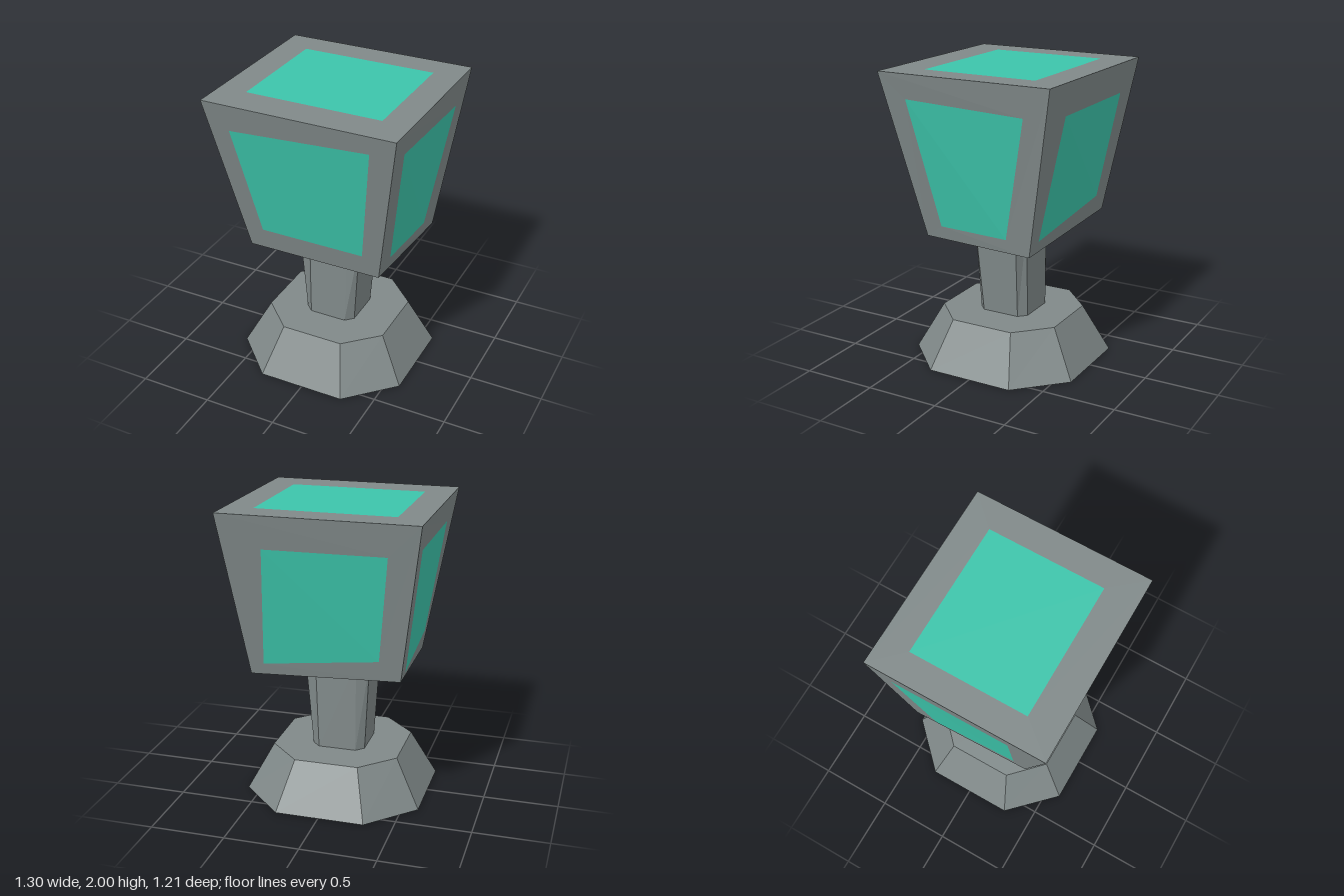
import * as THREE from 'three';

const V = (x, y, z) => new THREE.Vector3(x, y, z);

// two triangles, corners counter-clockwise from outside
const quad = (out, a, b, c, d) => out.push(a, b, c, a, c, d);

function makeMesh(name, points, material) {
  const geometry = new THREE.BufferGeometry().setFromPoints(points);
  geometry.computeVertexNormals(); // unshared corners keep facets flat
  const mesh = new THREE.Mesh(geometry, material);
  mesh.name = name;
  return mesh;
}

// chamfered-square ring at height y: x from x0 to x1, depth hz, flat half-widths cx and cz
function octagon(y, x0, x1, hz, cx, czFront, czBack) {
  const m = (x0 + x1) / 2;
  return [
    V(x1, y, czFront), V(x1, y, -czBack), V(m + cx, y, -hz), V(m - cx, y, -hz),
    V(x0, y, -czBack), V(x0, y, czFront), V(m - cx, y, hz), V(m + cx, y, hz),
  ];
}

// closed solid between two rings
function loft(bottom, top) {
  const out = [];
  const n = bottom.length;
  for (let i = 0; i < n; i++) {
    const j = (i + 1) % n;
    quad(out, bottom[i], bottom[j], top[j], top[i]);
    if (i > 0 && j > 0) {
      out.push(top[0], top[i], top[j]);
      out.push(bottom[0], bottom[j], bottom[i]);
    }
  }
  return out;
}

// point on a face given as [topLeft, topRight, bottomRight, bottomLeft]
const onFace = ([tl, tr, br, bl], [u, v]) =>
  tl.clone().lerp(tr, u).lerp(bl.clone().lerp(br, u), v);

export function createModel() {
  const stone = new THREE.MeshStandardMaterial({ color: 0x808989 });
  stone.name = 'grey stone';
  const glass = new THREE.MeshStandardMaterial({ color: 0x3cc4aa });
  glass.name = 'teal glass';

  const model = new THREE.Group();
  model.name = 'lantern';

  // foot and stem
  model.add(makeMesh('foot', loft(
    octagon(0, -0.607, 0.595, 0.6, 0.3, 0.3, 0.3),
    octagon(0.32, -0.437, 0.427, 0.43, 0.215, 0.22, 0.22)), stone));
  model.add(makeMesh('stem', loft(
    octagon(0.31, -0.19, 0.17, 0.18, 0.128, 0.13, 0.13),
    octagon(0.94, -0.223, 0.22, 0.18, 0.14, 0.165, 0.14)), stone));

  // corners of the slightly crooked head (front/back, right = +x)
  const ftl = V(-0.65, 2, 0.605), ftr = V(0.65, 2, 0.605);
  const btl = V(-0.65, 2, -0.605), btr = V(0.65, 2, -0.605);
  const fbl = V(-0.47, 0.9, 0.385), fbr = V(0.46, 0.9, 0.385);
  const bbl = V(-0.5, 0.95, -0.43), bbr = V(0.51, 0.895, -0.4);

  // each face with the uneven window cut in it, as fractions across and down
  const faces = [
    ['front', [ftl, ftr, fbr, fbl], [[0.112, 0.17], [0.874, 0.115], [0.867, 0.863], [0.137, 0.86]]],
    ['left', [ftr, btr, bbr, fbr], [[0.133, 0.15], [0.865, 0.18], [0.778, 0.918], [0.174, 0.918]]],
    ['back', [btr, btl, bbl, bbr], [[0.21, 0.2], [0.854, 0.2], [0.85, 0.87], [0.1, 0.93]]],
    ['right', [btl, ftl, fbl, bbl], [[0.107, 0.17], [0.8, 0.165], [0.88, 0.865], [0.18, 0.975]]],
    ['top', [btl, btr, ftr, ftl], [[0.146, 0.161], [0.854, 0.161], [0.854, 0.814], [0.146, 0.814]]],
  ];

  const head = new THREE.Group();
  head.name = 'head';
  for (const [side, corners, cuts] of faces) {
    const w = cuts.map((c) => onFace(corners, c));
    const frame = [];
    for (let i = 0; i < 4; i++) {
      const j = (i + 1) % 4;
      quad(frame, corners[i], w[i], w[j], corners[j]);
    }
    const pane = [];
    quad(pane, w[0], w[3], w[2], w[1]);
    head.add(makeMesh(side + 'Frame', frame, stone));
    head.add(makeMesh(side + 'Pane', pane, glass));
  }

  // underside of the head
  const underside = [];
  quad(underside, bbl, bbr, fbr, fbl);
  head.add(makeMesh('headUnderside', underside, stone));
  model.add(head);

  return model;
}
